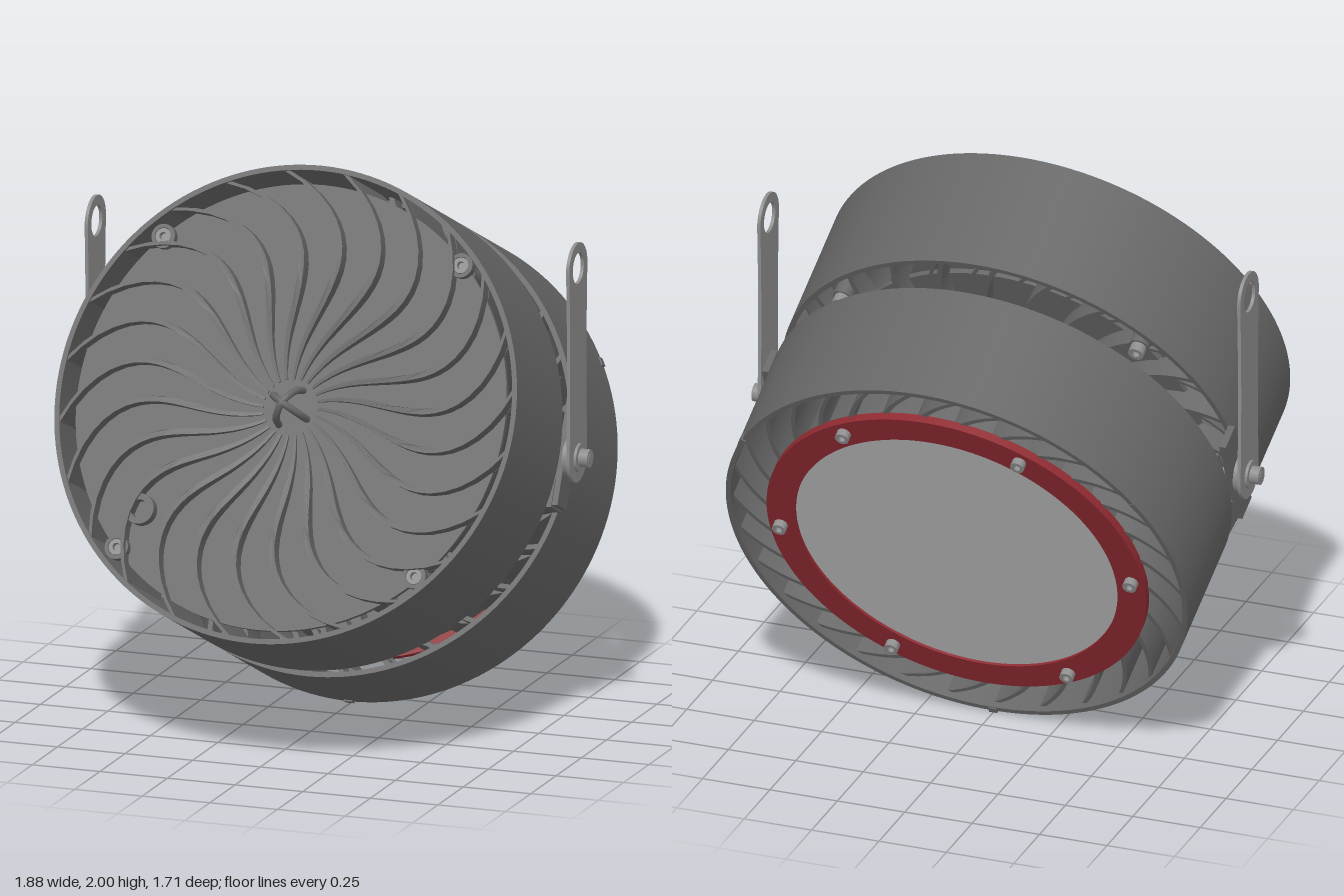
import * as THREE from 'three';
import { toCreasedNormals } from 'three/addons/utils/BufferGeometryUtils.js';

const paint = (color) => new THREE.MeshStandardMaterial({ color, side: THREE.DoubleSide });
const dark = paint(0x666666);
const steel = paint(0x8c8c8c);
const pale = paint(0xb8b8b8);
const red = paint(0x8e2a31);
const R = 0.845;

function add(parent, name, geometry, x = 0, y = 0, z = 0, material = dark) {
  const mesh = new THREE.Mesh(geometry, material);
  mesh.name = name;
  mesh.position.set(x, y, z);
  parent.add(mesh);
  return mesh;
}

function extrude(shape, z0, z1, segments = 48) {
  const g = new THREE.ExtrudeGeometry(shape, { depth: z1 - z0, bevelEnabled: false, curveSegments: segments });
  return toCreasedNormals(g.translate(0, 0, z0), 0.5);
}

// Flat ring or disc between two positions on the lamp axis
function ring(outer, inner, z0, z1, segments = 72) {
  const shape = new THREE.Shape().absarc(0, 0, outer, 0, Math.PI * 2, false);
  if (inner) shape.holes.push(new THREE.Path().absarc(0, 0, inner, 0, Math.PI * 2, true));
  return extrude(shape, z0, z1, segments);
}

function cylinder(radius, length, axis, sides = 20) {
  const g = new THREE.CylinderGeometry(radius, radius, length, sides);
  if (axis === 'z') g.rotateX(Math.PI / 2);
  if (axis === 'x') g.rotateZ(Math.PI / 2);
  return g;
}

// S-curved rib outline: swings clockwise, then hooks back at the rim
function ribShape(r0, r1, halfWidth, swing) {
  const left = [], right = [];
  const steps = 18;
  for (let i = 0; i <= steps; i++) {
    const r = r0 + (r1 - r0) * i / steps;
    const t = (r - 0.08) / 0.75;
    const angle = swing * (0.35 * t ** 5 - Math.sin(Math.PI * Math.min(1, t ** 1.15)));
    const w = halfWidth * Math.min(1, 0.4 + t * 2);
    const c = Math.cos(angle), s = Math.sin(angle);
    left.push(new THREE.Vector2(r * c - w * s, r * s + w * c));
    right.unshift(new THREE.Vector2(r * c + w * s, r * s - w * c));
  }
  return new THREE.Shape([...left, ...right]);
}

function radial(parent, name, geometry, count, offset = 0) {
  const set = new THREE.Group();
  set.name = name + 's';
  for (let i = 0; i < count; i++) {
    add(set, name, geometry).rotation.z = offset + i * Math.PI * 2 / count;
  }
  parent.add(set);
}

// Screw head with a socket, facing +z or -z
function screw(parent, name, x, y, z, direction, radius = 0.028, height = 0.035) {
  const g = new THREE.Group();
  g.name = name;
  add(g, 'screwHead', ring(radius, radius * 0.5, 0, height, 16), 0, 0, 0, steel);
  add(g, 'screwSocket', ring(radius * 0.52, 0, 0, height * 0.4, 3), 0, 0, 0, steel);
  g.position.set(x, y, z);
  if (direction < 0) g.rotation.y = Math.PI;
  parent.add(g);
}

function frontUnit() {
  const g = new THREE.Group();
  g.name = 'frontUnit';
  add(g, 'frontShell', ring(R, R - 0.018, 0.052, 0.55));
  add(g, 'frontPlate', ring(0.787, 0, 0.47, 0.49));
  add(g, 'innerPlate', ring(0.66, 0, 0.16, 0.18));

  // Raised ribs, rising from the middle to the rim
  const rib = extrude(ribShape(0.1, 0.829, 0.01, 0.28), 0.485, 0.54);
  const p = rib.attributes.position;
  for (let i = 0; i < p.count; i++) {
    if (p.getZ(i) < 0.5) continue;
    const r = Math.hypot(p.getX(i), p.getY(i));
    p.setZ(i, 0.497 + 0.043 * Math.min(1, Math.max(0, (r - 0.1) / 0.35)));
  }
  radial(g, 'frontRib', toCreasedNormals(rib, 0.5), 24, 0.06);
  radial(g, 'frontCoolingFin', extrude(ribShape(0.6, 0.829, 0.008, 0.28), 0.16, 0.48), 24, 0.06);
  radial(g, 'frontGapFin', extrude(ribShape(0.4, 0.829, 0.01, 0.12), 0.09, 0.17), 24, 0.06);

  // Corner screws and the posts behind them
  for (const x of [-0.55, 0.55]) for (const y of [-0.55, 0.55]) {
    add(g, 'screwBoss', ring(0.043, 0.03, 0.485, 0.52, 20), x, y, 0);
    screw(g, 'plateScrew', x, y, 0.485, 1);
    add(g, 'screwPost', cylinder(0.035, 0.4, 'z'), x, y * 0.96, 0.26);
    screw(g, 'rearScrew', x, y * 0.96, 0.06, -1);
  }

  // Crossed wire loops in the centre
  const arch = new THREE.CatmullRomCurve3([
    [-0.075, 0.48], [-0.055, 0.555], [0, 0.592], [0.055, 0.555], [0.075, 0.48],
  ].map(([x, z]) => new THREE.Vector3(x, 0, z)));
  const loop = new THREE.TubeGeometry(arch, 20, 0.013, 8);
  for (const a of [-0.5, 1.07]) add(g, 'centreLoop', loop).rotation.z = a;

  // Cable gland
  add(g, 'cableGland', ring(0.054, 0.032, 0.485, 0.53, 28), -0.485, -0.41, 0);
  return g;
}

function rearUnit() {
  const g = new THREE.Group();
  g.name = 'rearUnit';
  add(g, 'rearShell', ring(R, R - 0.018, -0.55, -0.075));
  add(g, 'lampHousing', ring(0.66, 0, -0.525, -0.2));
  add(g, 'lens', ring(0.6, 0, -0.542, -0.52), 0, 0, 0, pale);
  add(g, 'lensRing', ring(0.695, 0.59, -0.552, -0.52), 0, 0, 0, red);
  radial(g, 'rearCoolingFin', extrude(ribShape(0.6, 0.829, 0.012, 0.28), -0.525, -0.2), 30);
  radial(g, 'rearGapFin', extrude(ribShape(0.4, 0.829, 0.01, 0.12), -0.21, -0.1), 30);
  for (let i = 0; i < 6; i++) {
    const a = i * Math.PI / 3;
    screw(g, 'lensScrew', 0.65 * Math.cos(a), 0.65 * Math.sin(a), -0.55, -1, 0.025, 0.03);
  }
  // Small locating tabs on the rim
  for (let i = 0; i < 3; i++) {
    const a = Math.PI / 6 + i * Math.PI * 2 / 3;
    const tab = add(g, 'rimTab', new THREE.BoxGeometry(0.02, 0.03, 0.03), 0.84 * Math.cos(a), 0.84 * Math.sin(a), -0.54);
    tab.rotation.z = a;
  }
  return g;
}

// Finned core joining both units
function core() {
  const g = new THREE.Group();
  g.name = 'core';
  add(g, 'coreDrum', cylinder(0.36, 0.38, 'z', 48));
  radial(g, 'coreFin', extrude(ribShape(0.3, 0.455, 0.012, 0.2), -0.2, 0.16), 24);
  return g;
}

// Hanging strap with a hole at the top, narrower in the middle
function strapGeometry() {
  const s = new THREE.Shape();
  s.absarc(0, 0.68, 0.09, 0, Math.PI, false);
  s.quadraticCurveTo(-0.072, 0.34, -0.088, 0);
  s.absarc(0, 0, 0.088, Math.PI, Math.PI * 2, false);
  s.quadraticCurveTo(0.072, 0.34, 0.09, 0.68);
  s.holes.push(new THREE.Path().absarc(0, 0.68, 0.055, 0, Math.PI * 2, true));
  return extrude(s, -0.006, 0.006, 24).rotateY(Math.PI / 2);
}

export function createModel() {
  const model = new THREE.Group();
  model.name = 'spotlight';

  const lamp = new THREE.Group();
  lamp.name = 'lamp';
  lamp.add(frontUnit(), rearUnit(), core());
  lamp.position.y = 1;
  lamp.rotation.x = -25 * Math.PI / 180;
  model.add(lamp);

  const strap = strapGeometry();
  for (const side of [-1, 1]) {
    const name = side > 0 ? 'left' : 'right';
    // Mounting arm in the gap between the units
    add(lamp, name + 'MountArm', new THREE.BoxGeometry(0.025, 0.38, 0.1), side * 0.848, 0.01, -0.01);
    add(lamp, name + 'MountBlock', new THREE.BoxGeometry(0.2, 0.1, 0.11), side * 0.74, -0.14, -0.01);
    add(lamp, name + 'MountRib', new THREE.BoxGeometry(0.45, 0.07, 0.08), side * 0.55, 0, 0);

    add(model, name + 'Strap', strap, side * 0.89, 1, 0, steel);
    add(model, name + 'Spacer', cylinder(0.07, 0.025, 'x', 28), side * 0.872, 1, 0, steel);
    add(model, name + 'Washer', cylinder(0.05, 0.012, 'x', 28), side * 0.9, 1, 0, steel);
    add(model, name + 'BoltHead', cylinder(0.032, 0.04, 'x', 20), side * 0.92, 1, 0, steel);
    add(model, name + 'Bolt', cylinder(0.018, 0.14, 'x', 16), side * 0.872, 1, 0, steel);
  }
  return model;
}
